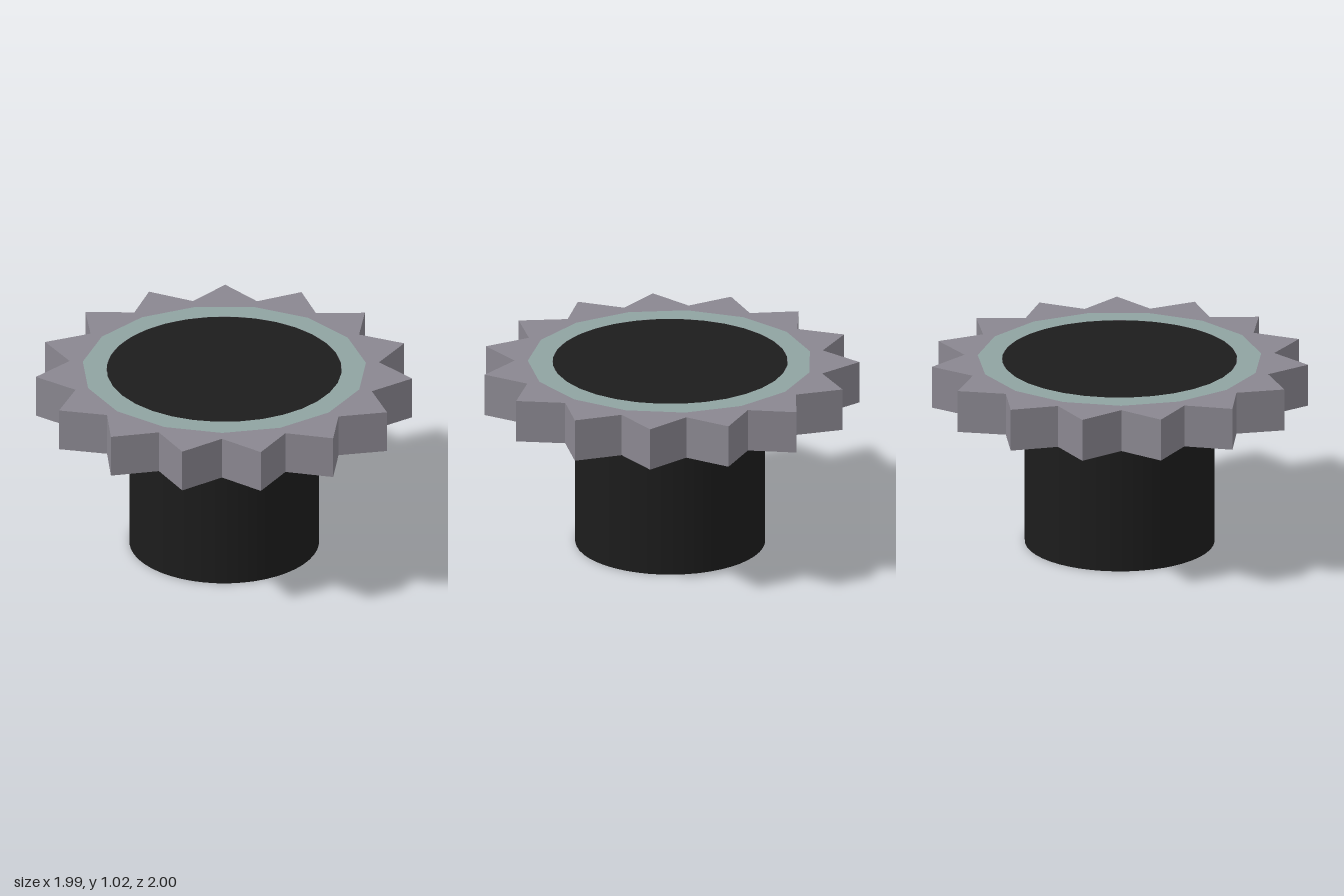
import * as THREE from 'three';

const TEETH = 15;
const TOP = 1.02, GEAR_BOTTOM = 0.79, COLLAR_BOTTOM = 0.755;

// Points round the wheel; radii alternate when two are given, and the
// right half is turned very slightly.
function ringPoints(radii, start = 0) {
  const count = TEETH * radii.length;
  return Array.from({ length: count }, (_, i) => {
    const a = start + (i / count) * Math.PI * 2;
    const b = a + 0.013 * Math.max(0, Math.cos(a));
    const r = radii[i % radii.length];
    return new THREE.Vector2(r * Math.cos(b), r * Math.sin(b));
  });
}

export function createModel() {
  const model = new THREE.Group();
  const steel = new THREE.MeshStandardMaterial({ color: 0x8a8790, flatShading: true });
  const teal = new THREE.MeshStandardMaterial({ color: 0x8fa3a1 });
  const black = new THREE.MeshStandardMaterial({ color: 0x1c1c1c });

  function add(name, geometry, material, y) {
    const mesh = new THREE.Mesh(geometry, material);
    mesh.name = name;
    mesh.position.y = y;
    model.add(mesh);
  }

  const hub = ringPoints([0.757], Math.PI / TEETH);

  // Toothed wheel with a fifteen-sided opening
  const wheel = new THREE.Shape(ringPoints([1.005, 0.827]));
  wheel.holes.push(new THREE.Path(hub));
  const wheelGeometry = new THREE.ExtrudeGeometry(wheel, {
    depth: TOP - GEAR_BOTTOM, bevelEnabled: false,
  }).rotateX(-Math.PI / 2);
  add('toothedWheel', wheelGeometry, steel, GEAR_BOTTOM);

  // Flat ring on the top face
  const ring = new THREE.Shape(hub);
  ring.holes.push(new THREE.Path().absarc(0, 0, 0.625, 0, Math.PI * 2, true));
  add('topRing', new THREE.ShapeGeometry(ring, 32).rotateX(-Math.PI / 2), teal, TOP);

  // Dark disc filling the ring
  add('topDisc', new THREE.CircleGeometry(0.625, 32).rotateX(-Math.PI / 2), black, TOP);

  // Shallow cone under the wheel
  const collarHeight = GEAR_BOTTOM - COLLAR_BOTTOM;
  add('collar', new THREE.CylinderGeometry(0.767, 0.505, collarHeight, 48),
    teal, COLLAR_BOTTOM + collarHeight / 2);

  // Shaft and its end face
  add('shaft', new THREE.CylinderGeometry(0.505, 0.505, COLLAR_BOTTOM, 48, 1, true),
    black, COLLAR_BOTTOM / 2);
  add('shaftEnd', new THREE.CircleGeometry(0.505, 48).rotateX(Math.PI / 2), teal, 0);

  model.children.forEach((part) => { part.position.x = -0.014; });
  return model;
}
